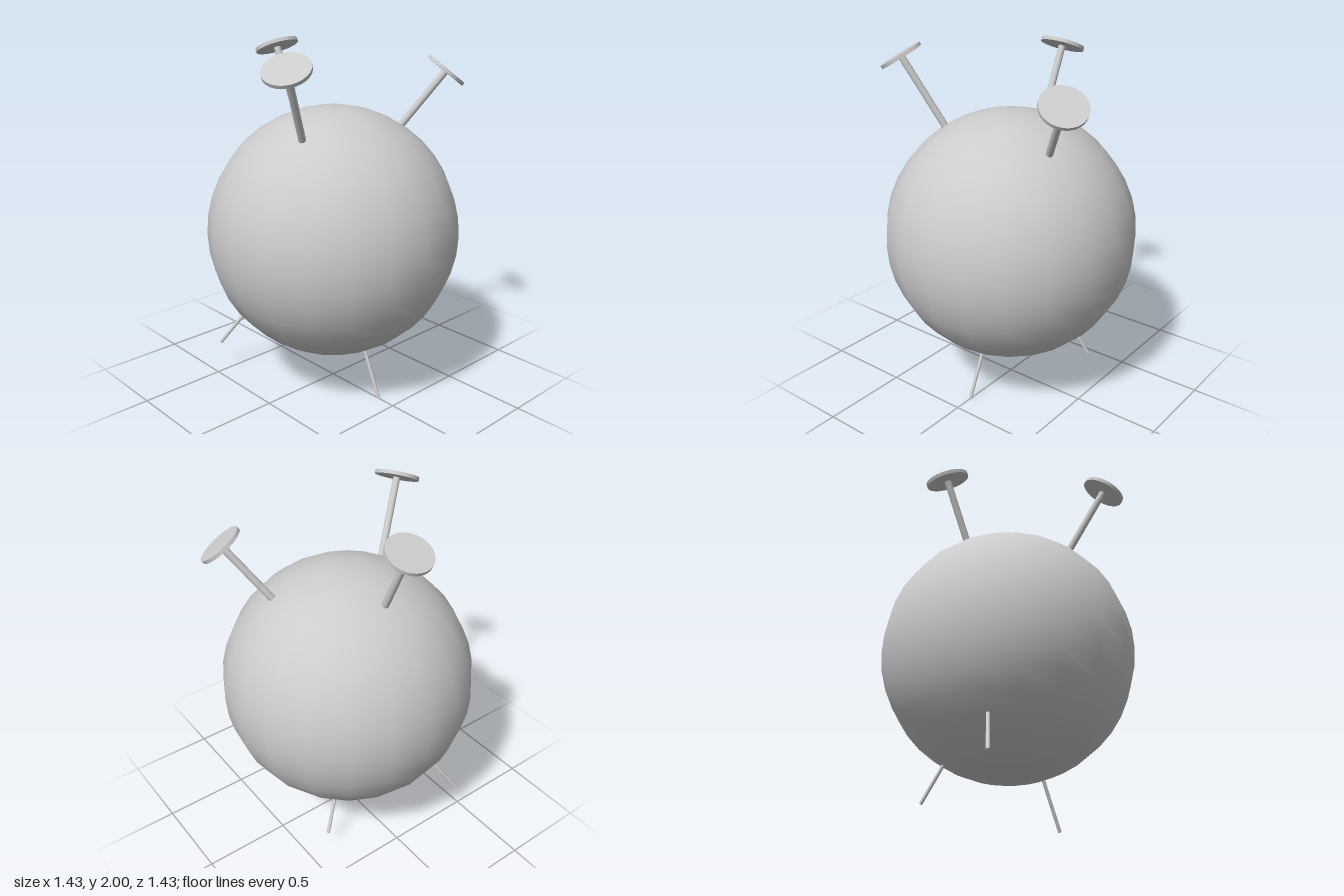
import * as THREE from 'three';

const UP = new THREE.Vector3(0, 1, 0);

export function createModel() {
  const group = new THREE.Group();
  const material = new THREE.MeshStandardMaterial({ color: 0xcccccc });

  const add = (parent, name, geometry, position) => {
    const mesh = new THREE.Mesh(geometry, material);
    mesh.name = name;
    mesh.position.copy(position);
    parent.add(mesh);
    return mesh;
  };

  // Cylinder between two points
  const rod = (parent, name, from, to, radius, sides) => {
    const dir = to.clone().sub(from);
    const geometry = new THREE.CylinderGeometry(radius, radius, dir.length(), sides);
    const mesh = add(parent, name, geometry, from.clone().lerp(to, 0.5));
    mesh.quaternion.setFromUnitVectors(UP, dir.normalize());
    return mesh;
  };

  // Round body
  add(group, 'body', new THREE.SphereGeometry(0.717, 20, 20), new THREE.Vector3(0, 0.938, 0));

  // Each axis runs from a thin leg below, through the body, to a disc above
  const axes = [
    { name: 'back', disc: [0, 1.942, -0.48], foot: [0, 0.004, 0.385] },
    { name: 'right', disc: [-0.55, 1.928, 0.27], foot: [0.37, 0.115, -0.30] },
    { name: 'left', disc: [0.563, 1.828, 0.322], foot: [-0.45, 0.175, -0.53] },
  ];
  for (const axis of axes) {
    const spike = new THREE.Group();
    spike.name = `${axis.name}Spike`;
    group.add(spike);

    const top = new THREE.Vector3(...axis.disc);
    const foot = new THREE.Vector3(...axis.foot);
    const dir = top.clone().sub(foot).normalize();
    rod(spike, 'stalk', top.clone().addScaledVector(dir, -0.8), top, 0.02, 20);
    rod(spike, 'leg', foot, foot.clone().addScaledVector(dir, 0.6), 0.01, 20);
    rod(spike, 'disc', top.clone().addScaledVector(dir, -0.01),
      top.clone().addScaledVector(dir, 0.01), 0.125, 32);
  }
  return group;
}
